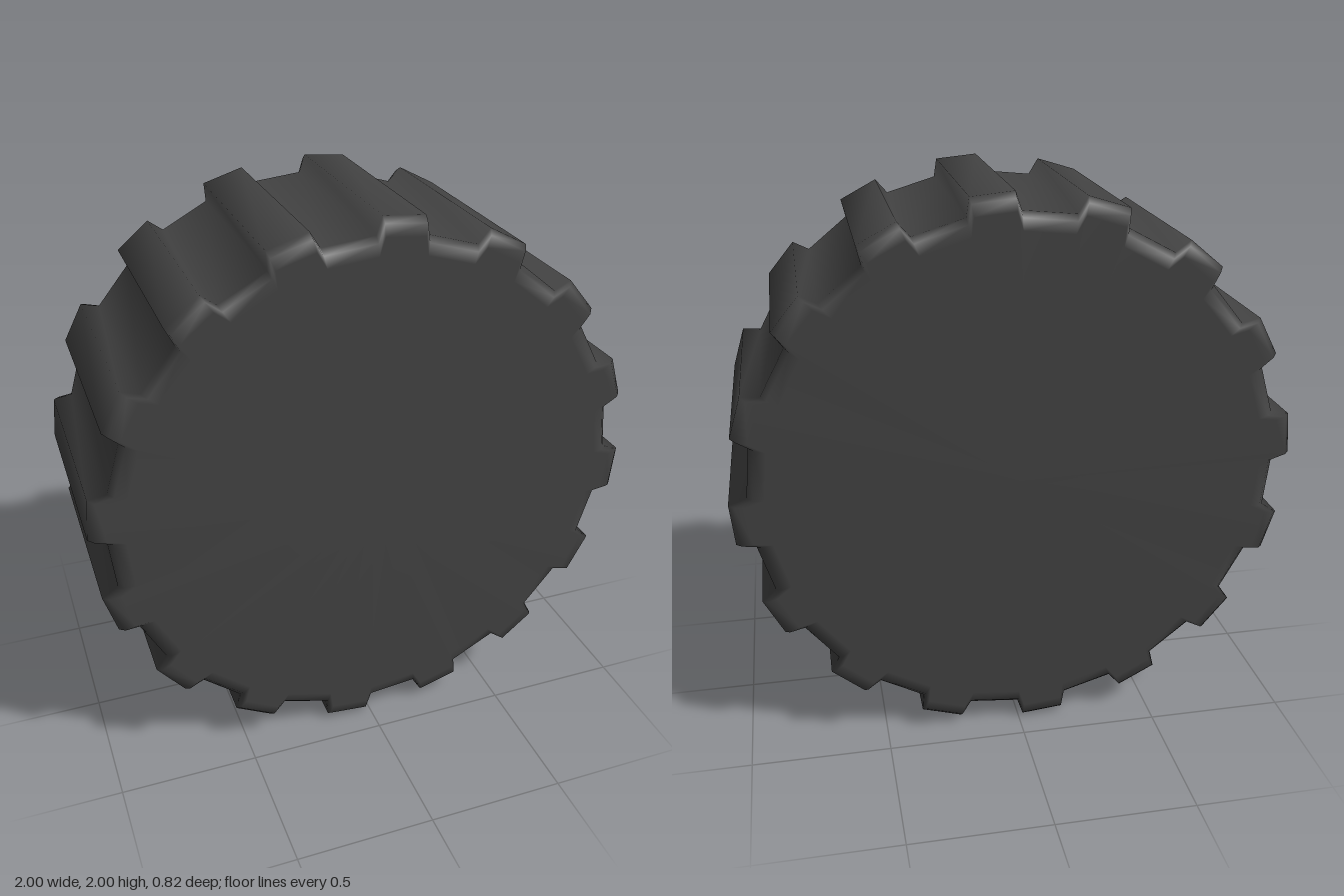
import * as THREE from 'three';

const TEETH = 16;
const BASE_R = 0.937;
const TIP_R = 1.0;

// One tooth of the rim: [angle in degrees clockwise from the top, radius]
const TOOTH = [[-0.1, BASE_R], [1.1, TIP_R], [9.7, TIP_R], [11.0, BASE_R]];

// Sections through the thickness: [z, inward offset of the rim]
const SECTIONS = [
  [-0.412, 0.06], [-0.403, 0.02], [-0.38, 0],
  [0.38, 0], [0.403, 0.02], [0.412, 0.06],
];

function gearGeometry() {
  const positions = [];
  const index = [];
  const count = TEETH * TOOTH.length;

  // Toothed rings, narrowing towards both faces
  for (const [z, inset] of SECTIONS) {
    for (let t = 0; t < TEETH; t++) {
      for (const [degrees, radius] of TOOTH) {
        const a = THREE.MathUtils.degToRad(degrees + t * 360 / TEETH);
        const r = radius - inset;
        positions.push(r * Math.sin(a), 1 + r * Math.cos(a), z);
      }
    }
  }

  // Rim between neighbouring rings
  for (let k = 0; k < SECTIONS.length - 1; k++) {
    for (let i = 0; i < count; i++) {
      const j = (i + 1) % count;
      const a = k * count + i, b = k * count + j;
      const c = a + count, d = b + count;
      index.push(a, c, b, b, c, d);
    }
  }

  // Flat faces at the back and front
  const last = (SECTIONS.length - 1) * count;
  const back = positions.length / 3;
  const front = back + 1;
  positions.push(0, 1, SECTIONS[0][0], 0, 1, SECTIONS[SECTIONS.length - 1][0]);
  for (let i = 0; i < count; i++) {
    const j = (i + 1) % count;
    index.push(back, i, j, front, last + j, last + i);
  }

  const geometry = new THREE.BufferGeometry();
  geometry.setAttribute('position', new THREE.Float32BufferAttribute(positions, 3));
  geometry.setIndex(index);
  geometry.computeVertexNormals();
  return geometry;
}

export function createModel() {
  const darkGrey = new THREE.MeshStandardMaterial({ color: 0x424242 });
  darkGrey.name = 'dark grey';

  const group = new THREE.Group();
  group.name = 'treadedWheel';
  const wheel = new THREE.Mesh(gearGeometry(), darkGrey);
  wheel.name = 'toothedWheel';
  group.add(wheel);
  return group;
}
